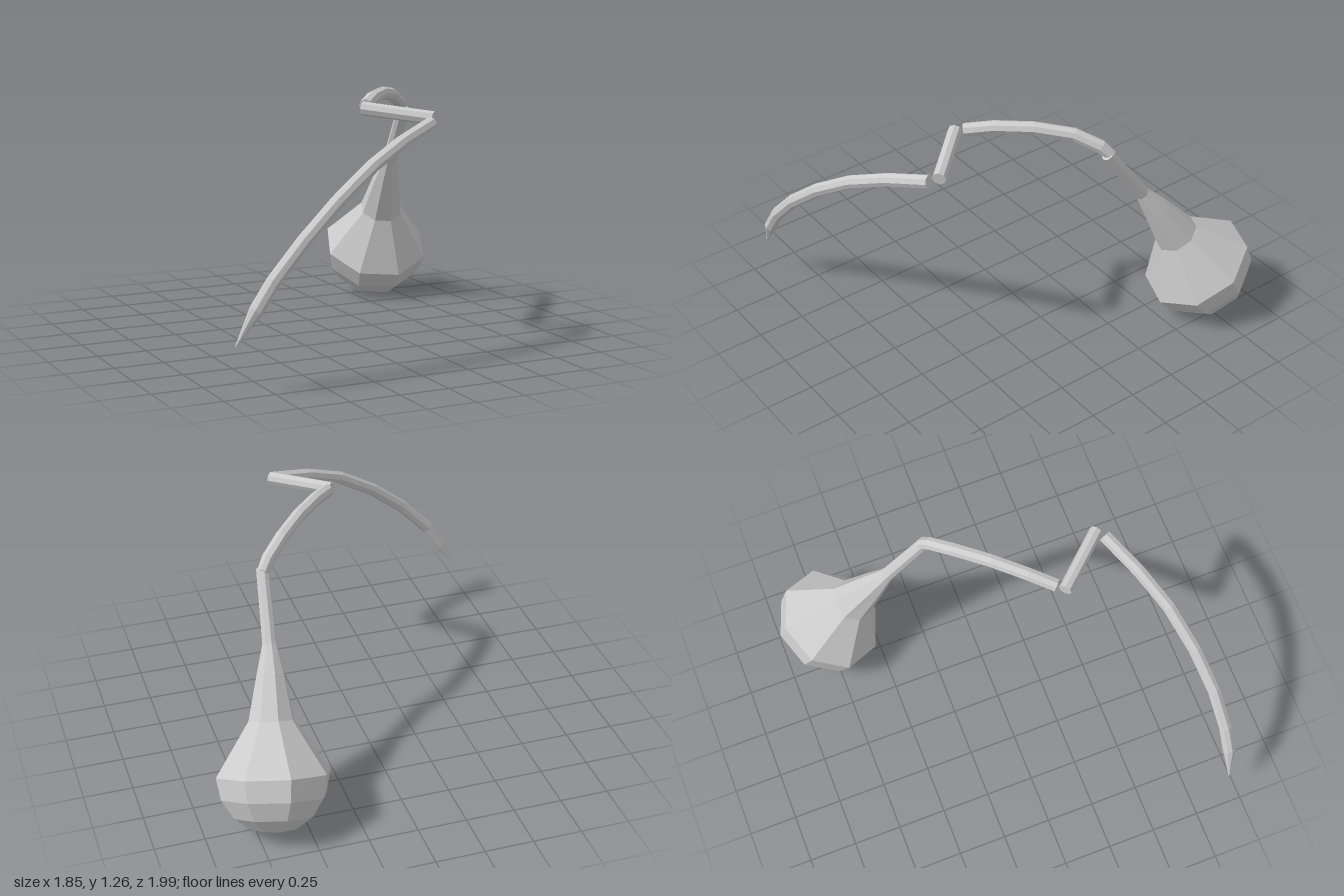
import * as THREE from 'three';

const SIDES = 8;
const V = (x, y, z) => new THREE.Vector3(x, y, z);

// Faceted sweep through rings [x, y, z, radius]; ref points at the first corner of each ring.
function sweep(name, rings, ref, material) {
  const centres = rings.map(([x, y, z]) => V(x, y, z));
  const n = rings.length;
  const pos = [];
  const index = [];
  centres.forEach((c, i) => {
    const t = centres[Math.min(i + 1, n - 1)].clone().sub(centres[Math.max(i - 1, 0)]).normalize();
    const u = ref.clone().addScaledVector(t, -ref.dot(t)).normalize();
    const v = t.clone().cross(u);
    for (let j = 0; j < SIDES; j++) {
      const a = (j / SIDES) * Math.PI * 2;
      const p = c.clone()
        .addScaledVector(u, Math.cos(a) * rings[i][3])
        .addScaledVector(v, Math.sin(a) * rings[i][3]);
      pos.push(p.x, p.y, p.z);
    }
  });
  for (let i = 0; i < n - 1; i++) {
    for (let j = 0; j < SIDES; j++) {
      const k = (j + 1) % SIDES;
      const a = i * SIDES + j, b = i * SIDES + k;
      index.push(a, b, b + SIDES, a, b + SIDES, a + SIDES);
    }
  }
  // flat end caps
  const last = (n - 1) * SIDES;
  for (let j = 1; j < SIDES - 1; j++) {
    index.push(0, j + 1, j, last, last + j, last + j + 1);
  }
  const indexed = new THREE.BufferGeometry();
  indexed.setAttribute('position', new THREE.Float32BufferAttribute(pos, 3));
  indexed.setIndex(index);
  const geometry = indexed.toNonIndexed();
  geometry.computeVertexNormals();
  const mesh = new THREE.Mesh(geometry, material);
  mesh.name = name;
  return mesh;
}

export function createModel() {
  const group = new THREE.Group();
  group.name = 'bulbOnJointedStem';
  const grey = new THREE.MeshStandardMaterial({ color: 0xcccccc, flatShading: true });
  const r = 0.034;

  // long curved stem narrowing to a pointed tip
  group.add(sweep('taperedStem', [
    [0.23, 1.145, 0.655, r], [0.02, 1.08, 0.755, r], [-0.18, 0.99, 0.84, r],
    [-0.39, 0.85, 0.905, r], [-0.58, 0.69, 0.947, r], [-0.74, 0.52, 0.963, r],
    [-0.825, 0.395, 0.963, r], [-0.87, 0.32, 0.953, 0.018], [-0.918, 0.235, 0.945, 0.004],
  ], V(0.25, 0, 1), grey));

  // short straight link between the two stems
  group.add(sweep('link', [
    [0.262, 1.165, 0.622, r], [0.012, 1.198, 0.355, r],
  ], V(0, 1, 0), grey));

  // arched stem
  group.add(sweep('archedStem', [
    [0.045, 1.207, 0.325, r], [0.14, 1.23, 0.215, r], [0.27, 1.235, 0.07, r],
    [0.40, 1.21, -0.075, r], [0.495, 1.155, -0.165, r], [0.53, 1.11, -0.2, 0.03],
  ], V(0.72, 0, 0.69), grey));

  // straight neck flaring into a bulb closed by a half dome
  const centre = V(0.64, 0.292, -0.712);
  const axis = V(0.127, -0.862, -0.49).normalize();
  const R = 0.287;
  const bulb = [
    [0.527, 1.12, -0.18, 0.032], [0.557, 0.82, -0.388, 0.036],
    [0.577, 0.70, -0.468, 0.07], [0.61, 0.515, -0.585, 0.115],
  ];
  for (let i = 0; i <= 4; i++) {
    const a = (i / 4) * Math.PI / 2;
    const c = centre.clone().addScaledVector(axis, Math.sin(a) * R);
    bulb.push([c.x, c.y, c.z, Math.max(Math.cos(a) * R, 0.0005)]);
  }
  group.add(sweep('neckAndBulb', bulb, V(0, 0, 1), grey));

  return group;
}
